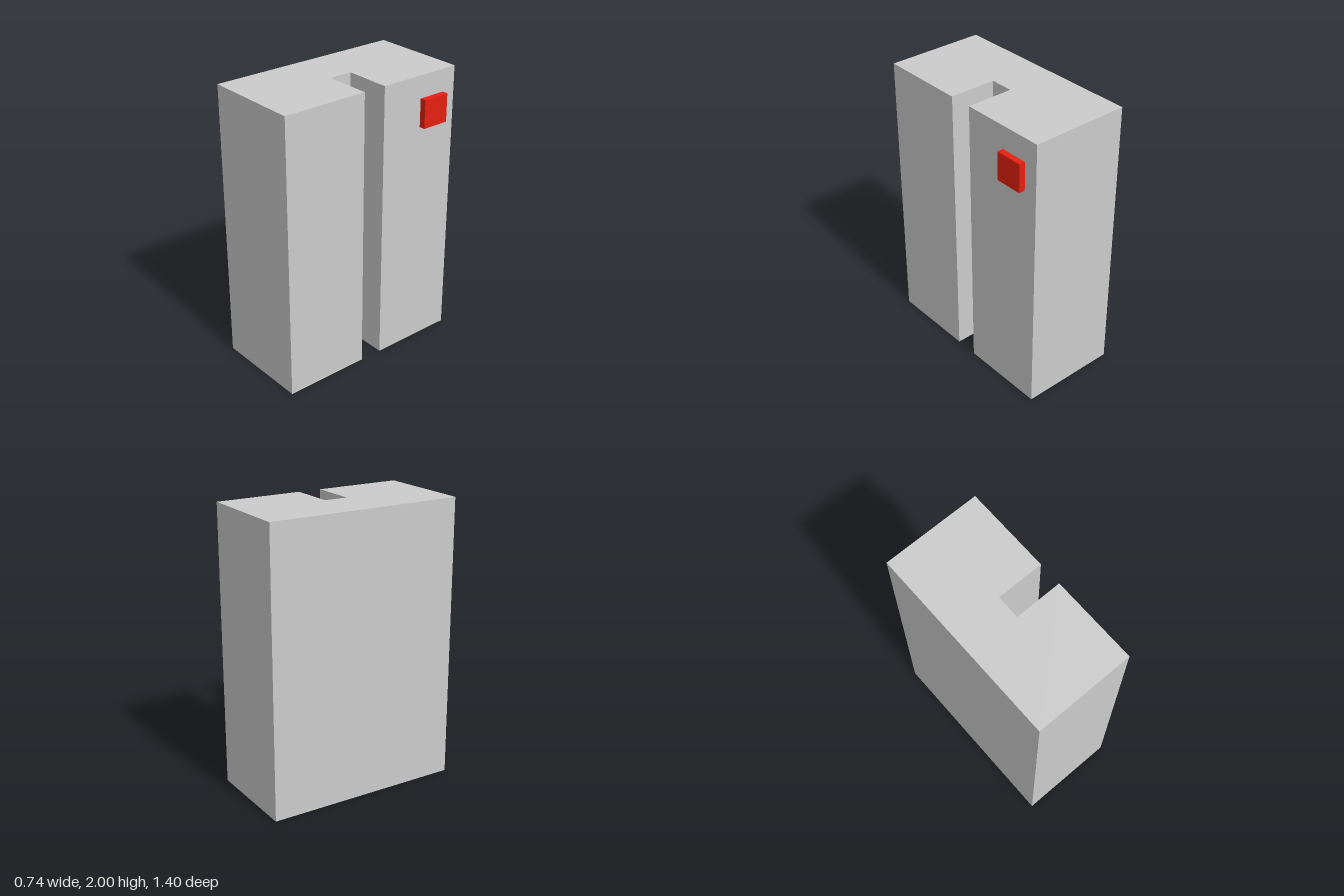
import * as THREE from 'three';

const LEFT = -0.372, RIGHT = 0.328, HALF_DEPTH = 0.7, HEIGHT = 2;
const SLOT_X = -0.005, SLOT_HALF = 0.083;

export function createModel() {
  const group = new THREE.Group();

  // Tall block with a full-height slot, extruded upward from its plan
  const plan = new THREE.Shape([
    [LEFT, -HALF_DEPTH], [RIGHT, -HALF_DEPTH],
    [RIGHT, -SLOT_HALF], [SLOT_X, -SLOT_HALF],
    [SLOT_X, SLOT_HALF], [RIGHT, SLOT_HALF],
    [RIGHT, HALF_DEPTH], [LEFT, HALF_DEPTH],
  ].map(([x, y]) => new THREE.Vector2(x, y)));
  const bodyGeometry = new THREE.ExtrudeGeometry(plan, { depth: HEIGHT, bevelEnabled: false });
  bodyGeometry.rotateX(-Math.PI / 2);
  const body = new THREE.Mesh(bodyGeometry, new THREE.MeshStandardMaterial({ color: 0xcccccc }));
  body.name = 'slottedBody';
  group.add(body);

  // Red square button on the slotted side, near the top back corner
  const thickness = 0.044;
  const button = new THREE.Mesh(
    new THREE.BoxGeometry(thickness, 0.2, 0.2),
    new THREE.MeshStandardMaterial({ color: 0xe62010 })
  );
  button.position.set(RIGHT + thickness / 2, 1.74, -0.5);
  button.name = 'redButton';
  group.add(button);

  return group;
}
